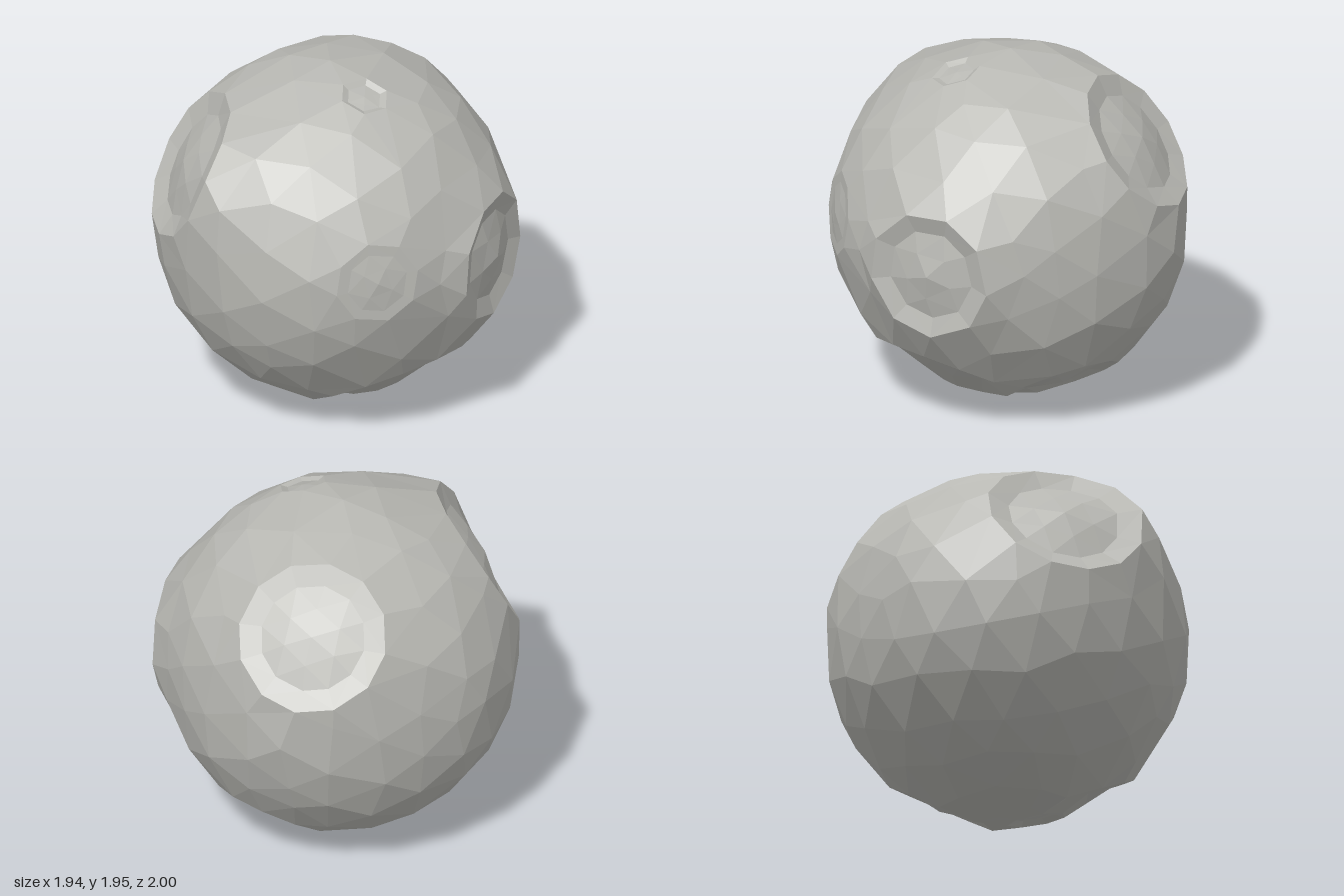
import * as THREE from 'three';
import { mergeVertices } from 'three/addons/utils/BufferGeometryUtils.js';
import { ConvexGeometry } from 'three/addons/geometries/ConvexGeometry.js';

const dir = (x, y, z) => new THREE.Vector3(x, y, z).normalize();

// Craters: direction, angular radius, rim height, floor height, centre height, sides, twist.
// Later craters cut into earlier ones.
const craters = [
  { d: dir(1, -0.01, 0.02), r: 0.36, rim: 0.04, floor: -0.02, mid: 0.0, n: 9, twist: 0.2 },
  { d: dir(-0.08, 0.59, -0.78), r: 0.42, rim: 0.03, floor: -0.03, mid: -0.02, n: 12, twist: 0 },
  { d: dir(-0.71, 0.49, 0.53), r: 0.44, rim: 0.02, floor: -0.05, mid: -0.035, n: 12, twist: 0.3 },
  { d: dir(0.6, 0.1, 0.77), r: 0.24, rim: 0.002, floor: -0.01, mid: -0.004, n: 8, twist: 0.1 },
  { d: dir(0.27, 0.92, 0.2), r: 0.14, rim: 0, floor: -0.02, mid: -0.015, n: 6, twist: 0.4 },
  { d: dir(0.44, -0.87, 0.16), r: 0.5, rim: 0.006, floor: -0.045, mid: -0.03, n: 14, twist: 0 },
  { d: dir(0.26, -0.84, -0.47), r: 0.33, rim: 0.005, floor: -0.045, mid: -0.03, n: 10, twist: 0.2 },
  { d: dir(0.28, -0.95, 0.1), r: 0.17, rim: -0.015, floor: -0.045, mid: -0.05, n: 7, twist: 0.5 },
];

// Broad swells and flats: direction, width, height
const swells = [
  [dir(-0.33, 0.54, 0.78), 0.34, 0.105],
  [dir(0.66, 0, -0.7), 0.3, -0.045],
  [dir(-0.7, 0, -0.66), 0.35, -0.04],
  [dir(0.08, 0.03, 1), 0.35, 0.025],
  [dir(0, 0.03, -1), 0.25, 0.03],
];

const WALL = 0.74; // foot of the crater wall as a share of its radius
const SKIRT = 1.3; // where the outer slope meets the ground

function random(seed) {
  let s = seed;
  return () => (s = (s * 16807) % 2147483647) / 2147483647;
}

function craterHeight(c, t) {
  const lerp = THREE.MathUtils.lerp;
  if (t < 0.45) return lerp(c.mid, c.floor, t / 0.45);
  if (t < WALL) return c.floor;
  if (t < 1) return lerp(c.floor, c.rim, (t - WALL) / (1 - WALL));
  return lerp(c.rim, 0, (t - 1) / (SKIRT - 1));
}

function surfaceRadius(p) {
  let h = 0;
  for (const c of craters) {
    const t = p.angleTo(c.d) / c.r;
    if (t < 1.001) h = craterHeight(c, t);
    else if (t < SKIRT && h >= 0) h = Math.max(h, craterHeight(c, t));
  }
  for (const [d, w, amount] of swells) h += amount * Math.exp(-((p.angleTo(d) / w) ** 2));
  return 0.972 + h;
}

// Even points over the sphere, replaced by rings inside each crater
function surfacePoints() {
  const rand = random(77);
  const ball = new THREE.IcosahedronGeometry(1, 3);
  ball.deleteAttribute('normal');
  ball.deleteAttribute('uv');
  const pos = mergeVertices(ball, 1e-3).attributes.position;
  let points = [];
  for (let i = 0; i < pos.count; i++) {
    const p = new THREE.Vector3().fromBufferAttribute(pos, i);
    points.push(p.add(dir(rand() - 0.5, rand() - 0.5, rand() - 0.5).multiplyScalar(0.035)).normalize());
  }
  for (const c of craters) {
    points = points.filter((p) => p.angleTo(c.d) > c.r + 0.1);
    const turn = new THREE.Quaternion().setFromUnitVectors(new THREE.Vector3(0, 1, 0), c.d);
    points.push(c.d.clone());
    for (const share of [0.4, WALL, 1]) {
      const n = share < 0.5 ? Math.ceil(c.n / 2) : c.n;
      for (let i = 0; i < n; i++) {
        const a = c.twist + ((i + (rand() - 0.5) * 0.12) / n) * Math.PI * 2;
        points.push(new THREE.Vector3().setFromSphericalCoords(1, share * c.r, a).applyQuaternion(turn));
      }
    }
  }
  return points;
}

export function createModel() {
  const group = new THREE.Group();
  group.name = 'crateredRock';
  const stone = new THREE.MeshStandardMaterial({ color: 0xb8b8b3, flatShading: true });
  stone.name = 'grey stone';

  // Skin the points on the unit sphere, then push each one in or out
  const geometry = new ConvexGeometry(surfacePoints());
  const pos = geometry.attributes.position;
  const p = new THREE.Vector3();
  for (let i = 0; i < pos.count; i++) {
    p.fromBufferAttribute(pos, i).normalize();
    p.multiplyScalar(surfaceRadius(p));
    pos.setXYZ(i, p.x, p.y, p.z);
  }

  // Centre it and stand it on the ground
  geometry.center();
  geometry.computeBoundingBox();
  geometry.translate(0, -geometry.boundingBox.min.y, 0);
  geometry.computeVertexNormals();

  const rock = new THREE.Mesh(geometry, stone);
  rock.name = 'crateredSurface';
  group.add(rock);
  return group;
}
